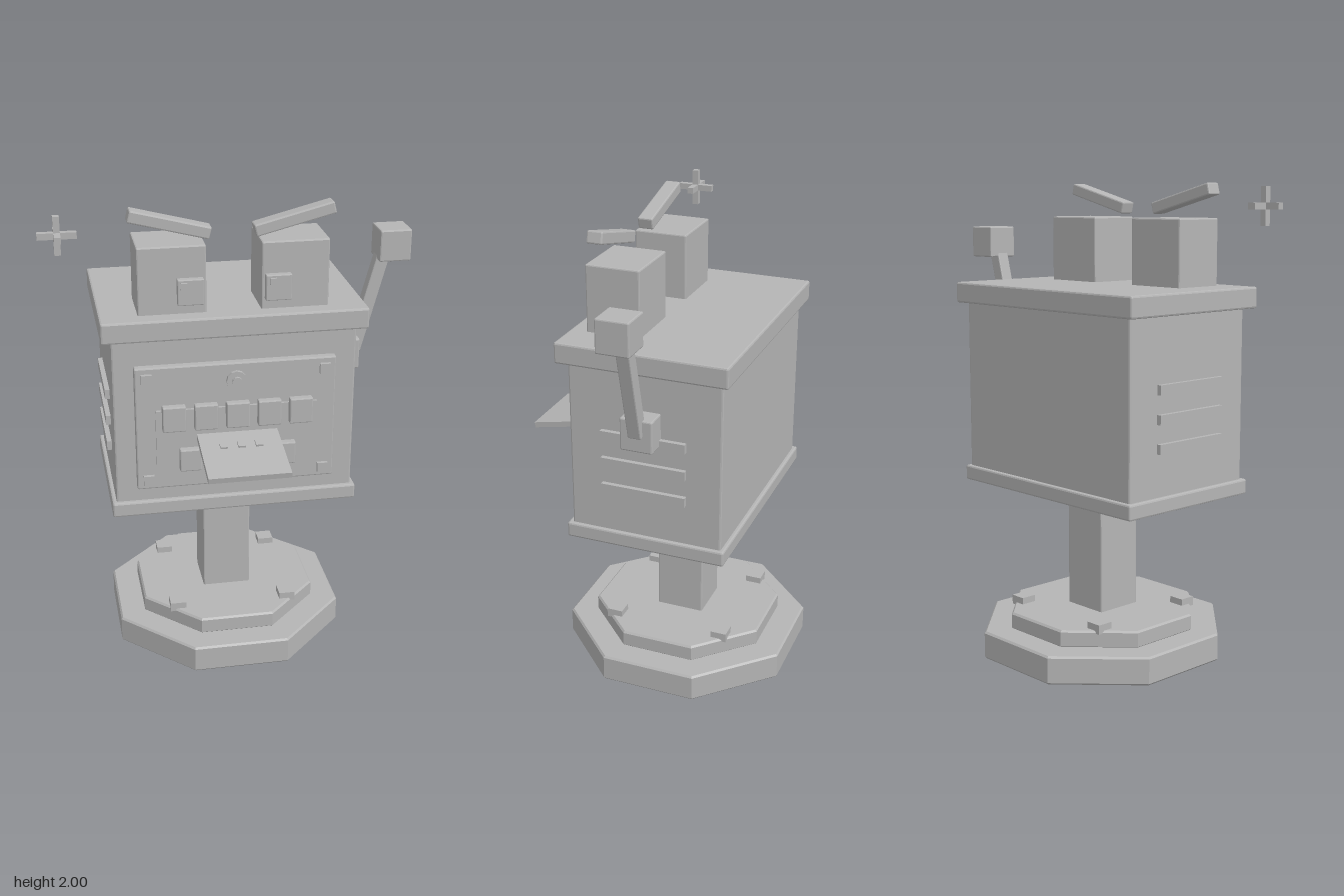
import * as THREE from 'three';
import { RoundedBoxGeometry } from 'three/addons/geometries/RoundedBoxGeometry.js';

export function createModel() {
  const root = new THREE.Group();
  root.name = 'slotMachineMailbox';
  const grey = new THREE.MeshStandardMaterial({ name: 'plain grey', color: 0xb4b4b4, flatShading: true });

  const add = (name, geometry, x, y, z, parent = root) => {
    const mesh = new THREE.Mesh(geometry, grey);
    mesh.name = name;
    mesh.position.set(x, y, z);
    parent.add(mesh);
    return mesh;
  };
  // Box given by its limits on each axis, with an optional chamfer
  const box = (name, [x0, x1], [y0, y1], [z0, z1], bevel = 0, parent = root) => {
    const s = [x1 - x0, y1 - y0, z1 - z0];
    const g = bevel ? new RoundedBoxGeometry(...s, 1, bevel) : new THREE.BoxGeometry(...s);
    return add(name, g, (x0 + x1) / 2, (y0 + y1) / 2, (z0 + z1) / 2, parent);
  };
  const group = (name) => {
    const g = new THREE.Group();
    g.name = name;
    root.add(g);
    return g;
  };
  const CX = -0.022, CZ = -0.083;

  // Octagonal two-step base, flats facing the axes
  const octagon = (name, apothem, y0, y1) => {
    const r = apothem / Math.cos(Math.PI / 8), b = 0.008;
    const profile = [[0, y0], [r - b, y0], [r, y0 + b], [r, y1 - b], [r - b, y1], [0, y1]]
      .map(([x, y]) => new THREE.Vector2(x, y));
    add(name, new THREE.LatheGeometry(profile, 8, Math.PI / 8), CX, 0, CZ);
  };
  octagon('baseStep', 0.495, 0, 0.12);
  octagon('baseUpperStep', 0.383, 0.115, 0.19);
  for (const sx of [-1, 1]) for (const sz of [-1, 1])
    add('baseBolt', new THREE.BoxGeometry(0.07, 0.04, 0.07), CX + sx * 0.245, 0.198, CZ + sz * 0.245);

  // Post and cabinet
  box('post', [-0.127, 0.083], [0.18, 0.72], [-0.188, 0.022], 0.006);
  box('cabinet', [-0.525, 0.48], [0.76, 1.51], [-0.408, 0.24], 0.008);
  box('bottomTrim', [-0.543, 0.497], [0.71, 0.775], [-0.425, 0.26], 0.008);
  box('lid', [-0.565, 0.52], [1.492, 1.58], [-0.44, 0.28], 0.008);

  // Side vents
  for (const x of [-0.525, 0.48]) for (const y of [0.97, 1.087, 1.205])
    add('sideVent', new THREE.BoxGeometry(0.04, 0.04, 0.36), x, y, -0.08);

  // Front panel with screws, round button and mouth
  const face = group('facePanel');
  box('panel', [-0.438, 0.39], [0.84, 1.38], [0.23, 0.272], 0.006, face);
  for (const x of [-0.39, 0.343]) for (const y of [0.883, 1.333])
    add('panelScrew', new THREE.BoxGeometry(0.044, 0.044, 0.03), x, y, 0.273, face);
  const disc = (name, r, z0, z1) => {
    const g = new THREE.CylinderGeometry(r, r, z1 - z0, 12).rotateX(Math.PI / 2);
    add(name, g, -0.024, 1.306, (z0 + z1) / 2, face);
  };
  disc('buttonRing', 0.042, 0.26, 0.288);
  disc('button', 0.02, 0.28, 0.3);
  box('mouth', [-0.357, 0.311], [0.953, 1.194], [0.26, 0.284], 0, face);
  for (let i = 0; i < 5; i++)
    add('upperTooth', new RoundedBoxGeometry(0.096, 0.11, 0.035, 1, 0.005), CX + (i - 2) * 0.131, 1.165, 0.297, face);
  for (let i = 0; i < 4; i++)
    add('lowerTooth', new RoundedBoxGeometry(0.09, 0.097, 0.035, 1, 0.005), CX + (i - 1.5) * 0.131, 0.977, 0.297, face);

  // Sloping tongue with three small bumps
  const tongue = group('tongue');
  tongue.position.set(CX, 1.042, 0.425);
  tongue.rotation.x = 0.19;
  add('tongueSlab', new THREE.BoxGeometry(0.335, 0.024, 0.31), 0, 0, 0, tongue);
  for (const x of [-0.073, 0, 0.073])
    add('tongueBump', new THREE.BoxGeometry(0.03, 0.012, 0.035), x, 0.014, -0.05, tongue);

  // Eyes and brows
  for (const s of [-1, 1]) {
    const eye = group(s < 0 ? 'rightEye' : 'leftEye');
    const span = (a, b) => [CX + Math.min(s * a, s * b), CX + Math.max(s * a, s * b)];
    box('eyeBlock', span(0.111, 0.387), [1.57, 1.857], [-0.02, 0.208], 0.006, eye);
    box('pupil', span(0.124, 0.23), [1.62, 1.727], [0.2, 0.235], 0.004, eye);
    const hx = s < 0 ? -0.228 : 0.131;
    box('pupilGlint', [hx - 0.013, hx + 0.013], [1.69, 1.716], [0.23, 0.247], 0, eye);
    const brow = add('brow', new RoundedBoxGeometry(0.332, 0.05, 0.066, 1, 0.006), CX + s * 0.25, 1.935, 0.153, eye);
    brow.rotation.z = s * 0.25;
  }

  // Pull lever on the model's left
  const lever = group('lever');
  box('leverHub', [0.47, 0.57], [1.195, 1.332], [-0.153, -0.017], 0.006, lever);
  const a = new THREE.Vector2(0.557, 1.265), b = new THREE.Vector2(0.677, 1.72);
  const rod = add('leverRod', new RoundedBoxGeometry(0.056, a.distanceTo(b), 0.056, 1, 0.005),
    (a.x + b.x) / 2, (a.y + b.y) / 2, -0.085, lever);
  rod.rotation.z = -Math.atan2(b.x - a.x, b.y - a.y);
  box('leverKnob', [0.64, 0.776], [1.672, 1.808], [-0.153, -0.017], 0.006, lever);

  // Floating spark of three crossed bars
  const spark = group('spark');
  for (const size of [[0.154, 0.026, 0.026], [0.026, 0.154, 0.026], [0.026, 0.026, 0.154]])
    add('sparkBar', new THREE.BoxGeometry(...size), -0.706, 1.907, 0.15, spark);

  return root;
}
